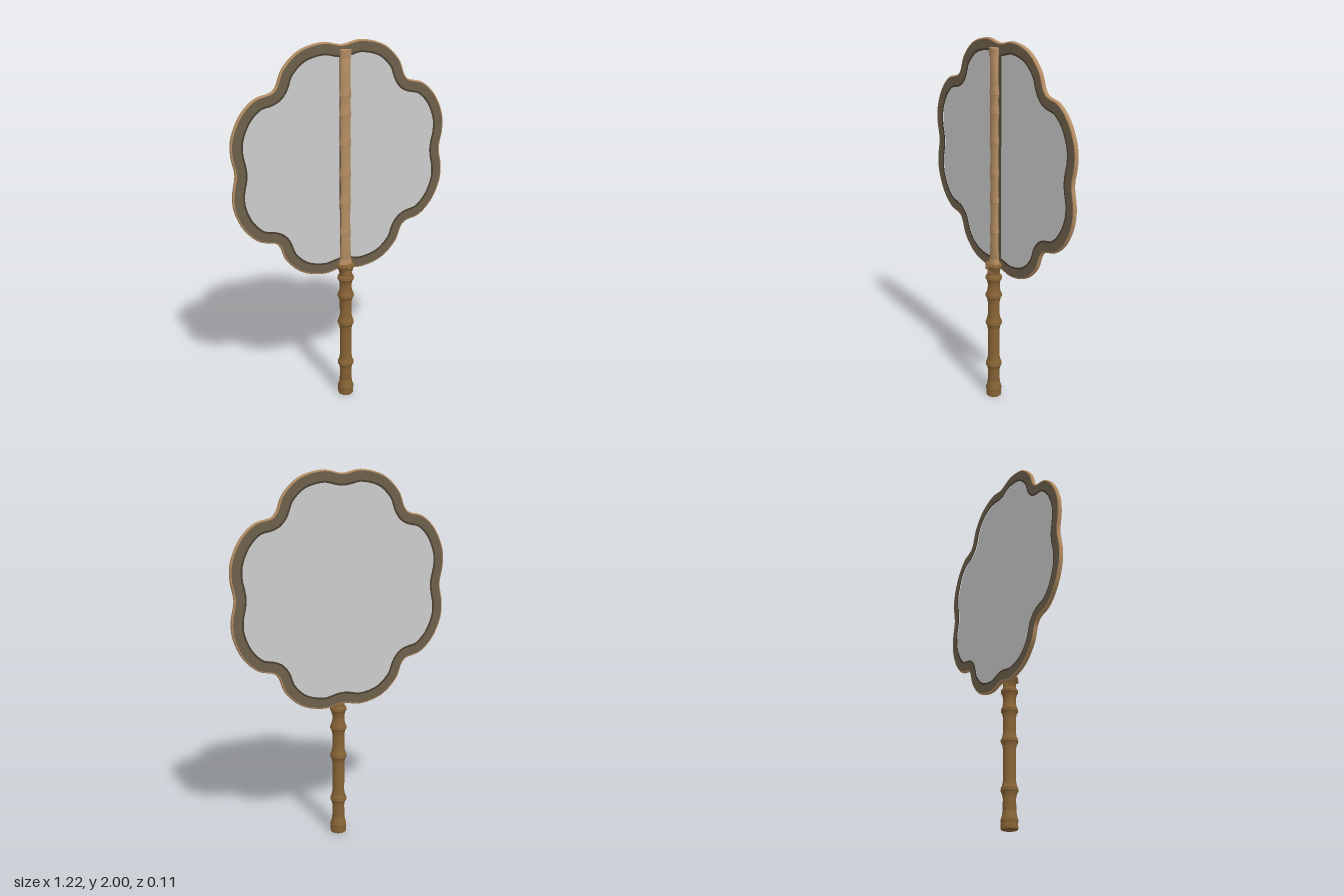
import * as THREE from 'three';

const CENTRE_Y = 1.375, FRAME_Z = -0.044;

const mat = (name, color) => {
  const m = new THREE.MeshStandardMaterial({ color });
  m.name = name;
  return m;
};

// Eight-lobed outline, running clockwise: one quadrant mirrored into four
function lobedOutline() {
  const q = [[0, 0.607], [0.106, 0.624], [0.24, 0.59], [0.33, 0.506], [0.364, 0.425], [0.387, 0.4],
    [0.477, 0.374], [0.556, 0.3], [0.607, 0.185], [0.611, 0.1], [0.594, 0]];
  const right = [...q, ...q.slice(0, -1).reverse().map(([x, y]) => [x, -y])];
  const all = [...right, ...right.slice(1, -1).reverse().map(([x, y]) => [-x, y])];
  const curve = new THREE.CatmullRomCurve3(all.map(([x, y]) => new THREE.Vector3(x, y, 0)), true);
  return curve.getSpacedPoints(256).slice(0, -1).map(p => new THREE.Vector2(p.x, p.y));
}

// Move every outline point inwards along its normal
function inset(points, d) {
  const n = points.length;
  return points.map((p, i) => {
    const t = points[(i + 1) % n].clone().sub(points[(i + n - 1) % n]).normalize();
    return new THREE.Vector2(p.x + t.y * d, p.y - t.x * d);
  });
}

export function createModel() {
  const group = new THREE.Group();
  const tan = mat('tan bamboo', 0xb48d63);
  const brown = mat('brown bamboo', 0x866335);
  const olive = mat('olive binding', 0x6d604b);
  const dark = mat('dark lip', 0x4a3f31);
  const grey = mat('grey silk', 0xcbcbcb);

  const add = (name, geometry, material) => {
    const mesh = new THREE.Mesh(geometry, material);
    mesh.name = name;
    group.add(mesh);
    return mesh;
  };
  const lathe = pts => new THREE.LatheGeometry(pts.map(([r, y]) => new THREE.Vector2(r, y)), 28);

  // Frame layers: flat shapes centred on the frame plane, between two insets of the outline
  const outline = lobedOutline();
  const layer = (name, outer, inner, depth, material, bevel = 0) => {
    const shape = new THREE.Shape(inset(outline, outer + bevel));
    if (inner) shape.holes.push(new THREE.Path(inset(outline, inner - bevel)));
    const g = new THREE.ExtrudeGeometry(shape, {
      depth: depth - 2 * bevel, bevelEnabled: bevel > 0, bevelSize: bevel, bevelThickness: bevel, bevelSegments: 3,
    });
    g.translate(0, CENTRE_Y, FRAME_Z - depth / 2 + bevel);
    add(name, g, material);
  };
  layer('outerRim', 0, 0.018, 0.022, tan, 0.006);
  layer('binding', 0.008, 0.054, 0.023, olive);
  layer('innerLip', 0.05, 0.064, 0.02, dark);
  layer('silkPanel', 0.055, 0, 0.006, grey);

  // Bamboo section: slim between nodes, flared towards each raised node
  const bamboo = (start, end, nodes, slim, wide) => {
    const pts = [[0, start[0]], [start[1], start[0]]];
    const stops = [start[0], ...nodes, end[0]];
    nodes.forEach((y, i) => {
      const below = Math.min(0.045, (y - stops[i]) * 0.4);
      const above = Math.min(0.045, (stops[i + 2] - y) * 0.4);
      pts.push([slim, y - below], [slim + (wide - slim) * 0.4, y - below * 0.45],
        [wide * 0.95, y - 0.011], [wide, y - 0.007], [wide, y - 0.002], [wide * 0.92, y],
        [wide, y + 0.003], [wide * 0.95, y + 0.009],
        [slim + (wide - slim) * 0.4, y + above * 0.45], [slim, y + above]);
    });
    pts.push([end[1], end[0]], [0, end[0]]);
    return lathe(pts);
  };

  // Handle with its foot ring and flared socket
  add('handle', bamboo([0.002, 0.036], [0.78, 0.036], [0.2, 0.455, 0.62, 0.725], 0.033, 0.045), brown);
  add('handleFoot', lathe([[0, 0], [0.041, 0], [0.043, 0.004], [0.043, 0.03], [0.041, 0.034], [0.044, 0.038],
    [0.044, 0.05], [0.039, 0.062], [0.033, 0.1]]), brown);
  const socket = add('handleSocket', lathe([[0.034, 0.742], [0.038, 0.762], [0.044, 0.78], [0.05, 0.79],
    [0.05, 0.8], [0.044, 0.806], [0, 0.806]]), brown);
  socket.scale.z = 0.84;

  // Small bud on the front of the socket
  const bud = add('socketBud', new THREE.SphereGeometry(0.012, 14, 10), brown);
  bud.position.set(0, 0.79, 0.042);

  // Slim flattened stick running up the front of the panel
  const stick = add('stick', bamboo([0.8, 0.034], [1.92, 0.028],
    [0.99, 1.163, 1.312, 1.482, 1.638, 1.738], 0.028, 0.0325), tan);
  stick.scale.z = 0.62;
  stick.position.z = -0.004;
  const collar = add('stickCollar', new THREE.CylinderGeometry(0.029, 0.04, 0.045, 28), tan);
  collar.scale.z = 0.62;
  collar.position.set(0, 0.825, -0.004);
  const cap = add('stickCap', new THREE.CylinderGeometry(0.031, 0.03, 0.045, 28), tan);
  cap.scale.z = 0.7;
  cap.position.set(0, 1.938, -0.002);

  // Dark strip binding the back of the stick to the panel
  const strip = add('stickBacking', new THREE.BoxGeometry(0.036, 1.13, 0.026), dark);
  strip.position.set(0, 1.365, -0.022);
  return group;
}
